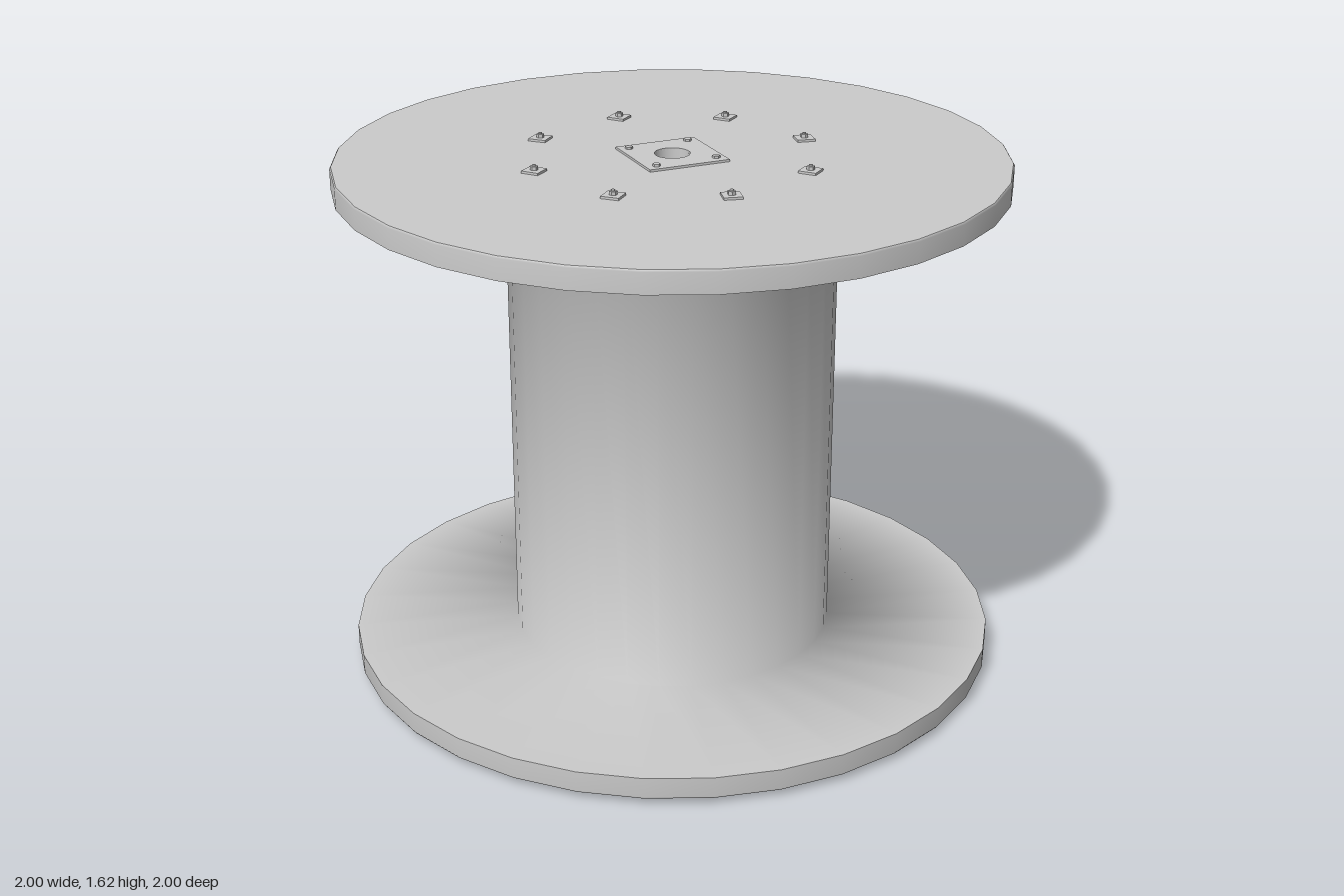
import * as THREE from 'three';

const MID = 0.81;       // height of the drum's mid plane
const OUTER = 0.788;    // mid plane to outer flange face
const INNER = 0.72;     // mid plane to inner flange face
const RIM = 1, CORE = 0.495, BORE = 0.053, SIDES = 32;

export function createModel() {
  const model = new THREE.Group();
  model.name = 'cableDrum';
  const grey = new THREE.MeshStandardMaterial({ color: 0xcccccc });

  const add = (name, geometry, parent = model) => {
    const mesh = new THREE.Mesh(geometry, grey);
    mesh.name = name;
    parent.add(mesh);
    return mesh;
  };
  // Profile points are [radius, offset from the mid plane], ordered bottom to top outside
  const lathe = (name, points) => add(name, new THREE.LatheGeometry(
    points.map(([r, y]) => new THREE.Vector2(r, MID + y)), SIDES));

  // Core runs smoothly into the inner faces of both flanges
  lathe('core', [[RIM, -INNER], [CORE, -INNER], [CORE, INNER], [RIM, INNER]]);
  // Outer faces, rims and the bore for the spindle
  lathe('bottomFace', [[BORE, -OUTER], [RIM - 0.004, -OUTER]]);
  lathe('topFace', [[RIM - 0.004, OUTER], [BORE, OUTER]]);
  lathe('bottomRim', [[RIM - 0.004, -OUTER], [RIM, -OUTER + 0.006], [RIM, -INNER]]);
  lathe('topRim', [[RIM, INNER], [RIM, OUTER - 0.006], [RIM - 0.004, OUTER]]);
  lathe('bore', [[BORE, OUTER], [BORE, -OUTER]]);

  // Square centre plate with the spindle hole
  const half = 0.127, plateThickness = 0.007;
  const plateShape = new THREE.Shape([[-half, -half], [half, -half], [half, half], [-half, half]]
    .map(([x, y]) => new THREE.Vector2(x, y)));
  plateShape.holes.push(new THREE.Path().absarc(0, 0, BORE, 0, Math.PI * 2, true));
  const plateGeometry = new THREE.ExtrudeGeometry(plateShape,
    { depth: plateThickness, bevelEnabled: false, curveSegments: 16 });
  plateGeometry.translate(0, 0, -plateThickness / 2);
  plateGeometry.rotateX(-Math.PI / 2);

  const washerGeometry = new THREE.BoxGeometry(0.055, 0.007, 0.055);
  const nutGeometry = new THREE.CylinderGeometry(0.012, 0.012, 0.012, 6).toNonIndexed();
  nutGeometry.computeVertexNormals();
  const studGeometry = new THREE.CylinderGeometry(0.006, 0.006, 0.006, 8);
  const washerTurns = [0, 0.65, 0.1, 0, 0.1, 0, 0, 0.7];

  for (const side of [1, -1]) {
    const fittings = new THREE.Group();
    fittings.name = side > 0 ? 'topFittings' : 'bottomFittings';
    fittings.position.y = MID + side * OUTER;
    model.add(fittings);

    const plate = add('centrePlate', plateGeometry, fittings);
    plate.position.y = side * plateThickness / 2;
    plate.rotation.y = Math.PI / 4 + 0.11;

    // Plate screws, one near each corner
    for (let i = 0; i < 4; i++) {
      const a = i * Math.PI / 2 - 0.13;
      add('plateScrew', nutGeometry, fittings)
        .position.set(0.136 * Math.cos(a), side * 0.008, 0.136 * Math.sin(a));
    }

    // Ring of through bolts: square washer, nut and stud end
    for (let i = 0; i < 8; i++) {
      const a = i * Math.PI / 4 - 0.08;
      const bolt = new THREE.Group();
      bolt.name = 'flangeBolt';
      bolt.position.set(0.43 * Math.cos(a), 0, 0.43 * Math.sin(a));
      bolt.rotation.y = washerTurns[i];
      fittings.add(bolt);
      add('washer', washerGeometry, bolt).position.y = side * 0.0035;
      add('nut', nutGeometry, bolt).position.y = side * 0.012;
      add('stud', studGeometry, bolt).position.y = side * 0.019;
    }
  }
  return model;
}
